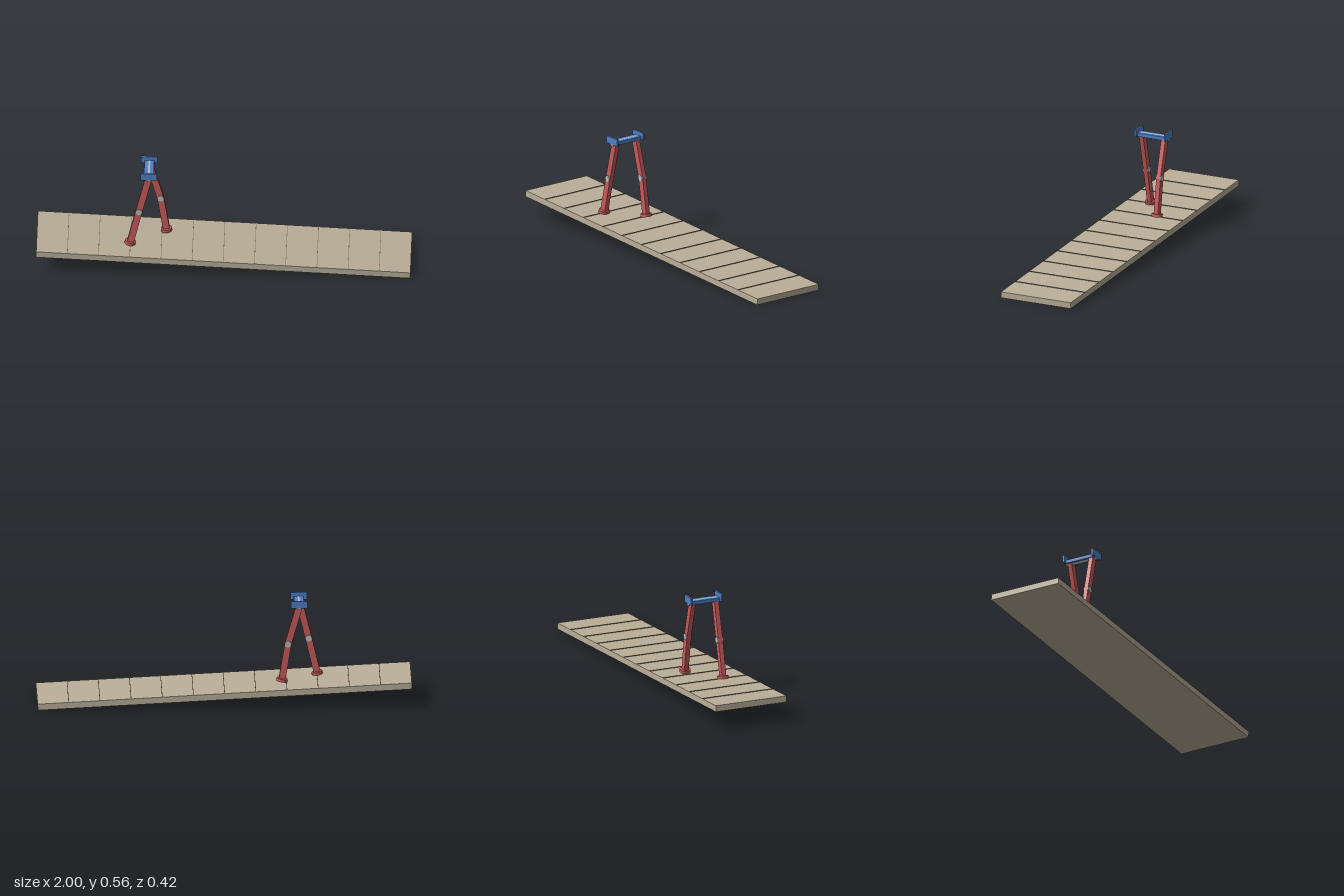
import * as THREE from 'three';

const mat = (name, color) => {
  const m = new THREE.MeshStandardMaterial({ color });
  m.name = name;
  return m;
};

export function createModel() {
  const red = mat('legRed', 0xc85a5a);
  const blue = mat('hipBlue', 0x4f80c8);
  const grey = mat('jointGrey', 0xbcbcbc);
  const tan = mat('rampTan', 0xb9ae98);
  const dark = mat('grooveBrown', 0x7d7466);

  const model = new THREE.Group();
  model.name = 'rampWalker';

  const add = (parent, name, geometry, material, x = 0, y = 0, z = 0) => {
    const mesh = new THREE.Mesh(geometry, material);
    mesh.name = name;
    mesh.position.set(x, y, z);
    parent.add(mesh);
    return mesh;
  };

  // Sloping ramp with thin cross markers
  const slope = Math.PI / 60, thick = 0.034, length = 2.001, sections = 12;
  const ramp = new THREE.Group();
  ramp.name = 'ramp';
  ramp.rotation.z = -slope;
  ramp.position.y = (length * Math.sin(slope) + thick * Math.cos(slope)) / 2;
  model.add(ramp);
  add(ramp, 'rampBoard', new THREE.BoxGeometry(length, thick, 0.416), tan);
  const markerGeo = new THREE.BoxGeometry(0.003, 0.004, 0.416);
  for (let i = 1; i < sections; i++) {
    add(ramp, 'rampMarker', markerGeo, dark, -length / 2 + i * length / sections, thick / 2 + 0.001);
  }

  // Each leg runs hip, knee, foot in the xy plane
  const hip = new THREE.Vector2(-0.4, 0.528);
  const segment = (parent, name, a, b) => {
    const d = b.clone().sub(a);
    const mid = a.clone().add(b).multiplyScalar(0.5);
    const mesh = add(parent, name, new THREE.BoxGeometry(0.036, d.length(), 0.025), red, mid.x, mid.y);
    mesh.rotation.z = -Math.atan2(d.x, d.y);
    return mesh.rotation.z;
  };
  const addLeg = (name, z, knee, foot) => {
    const leg = new THREE.Group();
    leg.name = name;
    leg.position.z = z;
    model.add(leg);
    segment(leg, 'thigh', knee, hip);
    const tilt = segment(leg, 'shin', foot, knee);
    const joint = add(leg, 'knee', new THREE.CylinderGeometry(0.0175, 0.0175, 0.033, 20), grey, knee.x, knee.y);
    joint.rotation.x = Math.PI / 2;
    const pad = add(leg, 'foot', new THREE.CylinderGeometry(0.03, 0.03, 0.016, 16), red, foot.x, foot.y);
    pad.rotation.z = tilt;
  };
  addLeg('rightLeg', 0.067, new THREE.Vector2(-0.453, 0.316), new THREE.Vector2(-0.499, 0.121));
  addLeg('leftLeg', -0.067, new THREE.Vector2(-0.34, 0.321), new THREE.Vector2(-0.308, 0.122));

  // Hip axle, crossbar and end plates
  const axle = add(model, 'hipAxle', new THREE.CylinderGeometry(0.014, 0.014, 0.187, 20), grey, -0.4, 0.528);
  axle.rotation.x = Math.PI / 2;
  add(model, 'hipBar', new THREE.BoxGeometry(0.052, 0.019, 0.17), blue, -0.4, 0.5315);
  for (const side of [-1, 1]) {
    add(model, 'hipPlate', new THREE.BoxGeometry(0.088, 0.039, 0.011), blue, -0.4, 0.5435, side * 0.0885);
  }

  return model;
}
